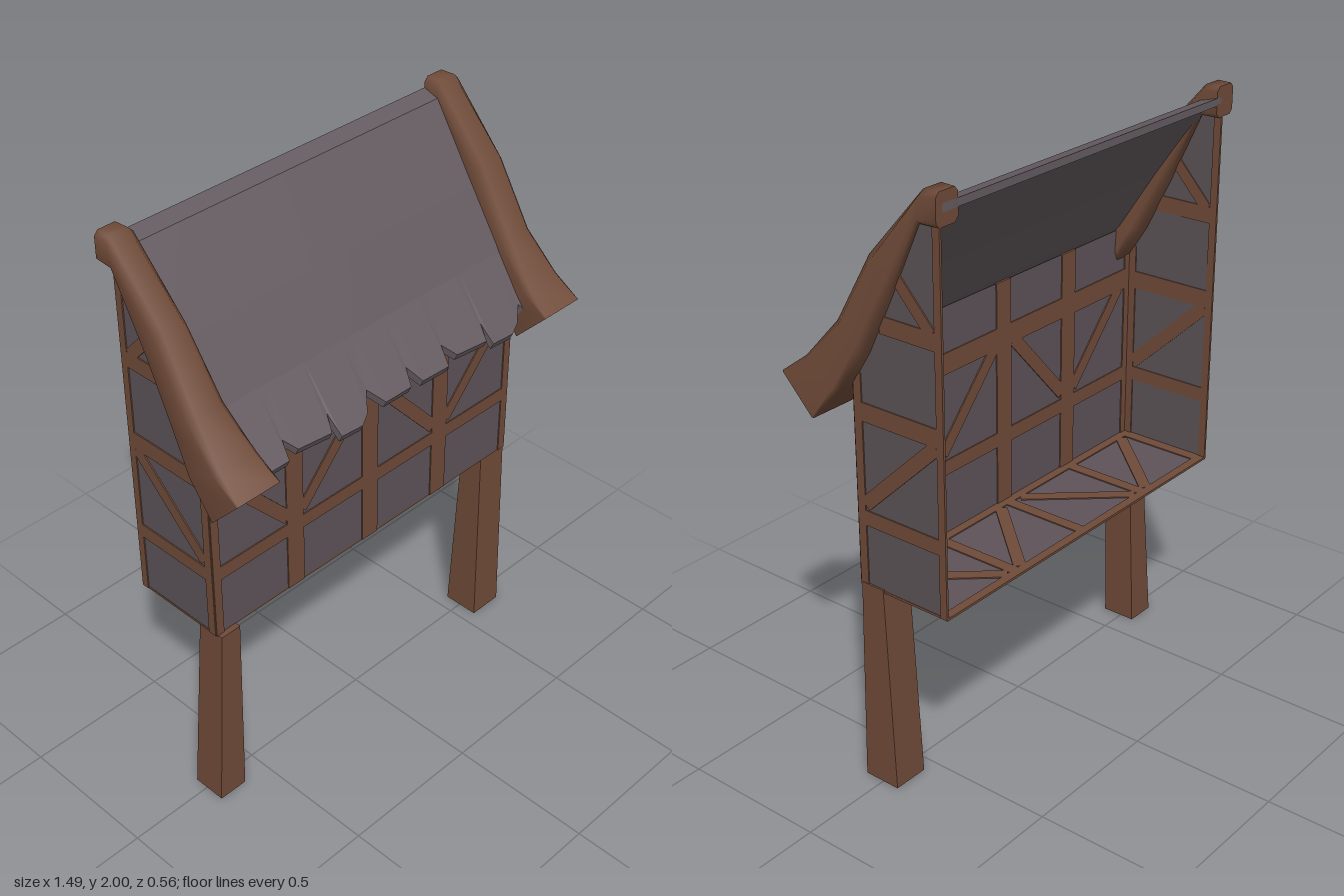
import * as THREE from 'three';

const mat = (name, color, side = THREE.FrontSide) => {
  const m = new THREE.MeshStandardMaterial({ color, side });
  m.name = name;
  return m;
};

// Skin a row of equal closed rings; caps join ring point k to point N-1-k.
function loft(rings, { start = true, end = true, flat = false } = {}) {
  const n = rings[0].length, pos = rings.flat(2), idx = [];
  for (let i = 0; i < rings.length - 1; i++) {
    for (let j = 0; j < n; j++) {
      const a = i * n + j, b = i * n + (j + 1) % n, c = b + n, d = a + n;
      idx.push(a, b, d, b, c, d);
    }
  }
  const cap = (ring, flip) => {
    const o = pos.length / 3;
    pos.push(...ring.flat());
    for (let k = 0; k < n / 2 - 1; k++) {
      const [a, b, c, d] = [o + k, o + k + 1, o + n - 2 - k, o + n - 1 - k];
      if (flip) idx.push(a, c, b, a, d, c);
      else idx.push(a, b, c, a, c, d);
    }
  };
  if (start) cap(rings[0], true);
  if (end) cap(rings[rings.length - 1], false);
  let g = new THREE.BufferGeometry();
  g.setAttribute('position', new THREE.Float32BufferAttribute(pos, 3));
  g.setIndex(idx);
  if (flat) g = g.toNonIndexed();
  g.computeVertexNormals();
  return g;
}

export function createModel() {
  const model = new THREE.Group();
  model.name = 'timberFramedBay';
  const timber = mat('timber', 0x704b39);
  const timberOpen = mat('legTimber', 0x704b39, THREE.DoubleSide);
  const plaster = mat('plaster', 0x5d5358, THREE.DoubleSide);
  const slate = mat('slate', 0x655c61);

  const add = (parent, name, geometry, material) => {
    const m = new THREE.Mesh(geometry, material);
    m.name = name;
    parent.add(m);
    return m;
  };

  // A plaster panel with thin beams showing on both faces; beam = [x1, y1, x2, y2, width]
  const panel = (name, outline, beams) => {
    const g = new THREE.Group();
    g.name = name;
    const shape = new THREE.Shape(outline.map(([x, y]) => new THREE.Vector2(x, y)));
    add(g, name + 'Plaster', new THREE.ShapeGeometry(shape), plaster);
    beams.forEach(([x1, y1, x2, y2, w]) => {
      const b = add(g, name + 'Beam', new THREE.BoxGeometry(Math.hypot(x2 - x1, y2 - y1), w, 0.008), timber);
      b.position.set((x1 + x2) / 2, (y1 + y2) / 2, 0);
      b.rotation.z = Math.atan2(y2 - y1, x2 - x1);
    });
    model.add(g);
    return g;
  };

  // Front wall
  const W = 0.67;
  const frontBeams = [[-W, 0.935, W, 0.935, 0.05], [-W, 1.285, W, 1.285, 0.07]];
  [-0.655, 0.655].forEach(x => frontBeams.push([x, 0.7, x, 1.47, 0.03]));
  [-0.33, 0, 0.325].forEach(x => frontBeams.push([x, 0.7, x, 1.47, 0.07]));
  [-0.33, 0.325].forEach(x => [-1, 1].forEach(s =>
    frontBeams.push([x + s * 0.03, 0.985, x + s * 0.28, 1.26, 0.045])));
  panel('frontWall', [[-W, 0.7], [W, 0.7], [W, 1.47], [-W, 1.47]], frontBeams).position.z = 0.06;

  // Side walls, drawn in (z, y)
  [-1, 1].forEach(s => {
    const side = panel(s > 0 ? 'leftWall' : 'rightWall',
      [[-0.28, 0.7], [0.06, 0.7], [0.06, 1.41], [-0.21, 1.91], [-0.28, 1.94]],
      [[0.045, 0.7, 0.045, 1.4, 0.03], [-0.267, 0.7, -0.267, 1.92, 0.026],
        [-0.28, 0.935, 0.06, 0.935, 0.05], [-0.28, 1.28, 0.06, 1.28, 0.06],
        [-0.28, 1.57, -0.05, 1.57, 0.055], [0.03, 0.98, -0.25, 1.25, 0.045],
        [-0.12, 1.72, -0.24, 1.59, 0.04]]);
    side.rotation.y = -Math.PI / 2;
    side.position.x = s * 0.669;
  });

  // Floor, drawn in (x, z)
  const floorBeams = [[-W, 0.045, W, 0.045, 0.03], [-W, -0.265, W, -0.265, 0.03]];
  [-0.65, -0.33, 0, 0.33, 0.65].forEach(x => floorBeams.push([x, -0.28, x, 0.06, 0.04]));
  [-0.33, 0.33].forEach(x => [-1, 1].forEach(s =>
    floorBeams.push([x + s * 0.03, -0.25, x + s * 0.28, 0.03, 0.04])));
  const floor = panel('floor', [[-W, -0.28], [W, -0.28], [W, 0.06], [-W, 0.06]], floorBeams);
  floor.rotation.x = Math.PI / 2;
  floor.position.y = 0.702;

  // Roof slab: columns along x, each [x, z of the ragged eave]
  const eave = [[-0.66, 0.2], [-0.475, 0.2], [-0.465, 0.16], [-0.43, 0.19], [-0.3, 0.197],
    [-0.285, 0.16], [-0.275, 0.212], [-0.19, 0.215], [-0.155, 0.2], [-0.12, 0.16], [-0.075, 0.2],
    [0.035, 0.2], [0.05, 0.162], [0.085, 0.202], [0.2, 0.204], [0.21, 0.16], [0.25, 0.193],
    [0.38, 0.2], [0.39, 0.162], [0.4, 0.212], [0.49, 0.215], [0.53, 0.2], [0.565, 0.168], [0.59, 0.2], [0.66, 0.2]];
  const roofRings = eave.map(([x, z]) => {
    const top = [[-0.28, 1.965], [-0.22, 1.95], [-0.06, 1.71], [0.06, 1.515], [z, 1.34 - 1.2 * (z - 0.2)]];
    const under = top.map(([pz, py]) => [pz - 0.012, py - 0.025]).reverse();
    under[under.length - 1][0] = -0.28;
    return [...top, ...under].map(([pz, py]) => [x, py, pz]);
  });
  add(model, 'roof', loft(roofRings, { flat: true }), slate);

  // Bargeboard logs: [upper z, y, lower z, y, corner roundness]
  const logProfile = [[-0.28, 2, -0.28, 1.9, 0.7], [-0.23, 2, -0.21, 1.9, 0.7], [-0.04, 1.78, -0.1, 1.66, 0.65],
    [0.08, 1.56, -0.01, 1.475, 0.65], [0.19, 1.43, 0.065, 1.355, 0.8], [0.275, 1.365, 0.16, 1.245, 0.95]];
  const logs = {
    rightLog: [[-0.725, -0.637], [-0.73, -0.632], [-0.73, -0.615], [-0.735, -0.597], [-0.745, -0.582], [-0.745, -0.58]],
    leftLog: [[0.595, 0.685], [0.59, 0.69], [0.585, 0.711], [0.59, 0.724], [0.577, 0.739], [0.575, 0.742]],
  };
  for (const [name, spans] of Object.entries(logs)) {
    const rings = logProfile.map(([uz, uy, lz, ly, k], i) => {
      const [x0, x1] = spans[i];
      return [[1, k], [k, 1], [-k, 1], [-1, k], [-1, -k], [-k, -1], [k, -1], [1, -k]].map(([u, v]) => [
        (x0 + x1) / 2 + u * (x1 - x0) / 2,
        (uy + ly) / 2 + v * (uy - ly) / 2,
        (uz + lz) / 2 + v * (uz - lz) / 2]);
    });
    // Start the ring on its side so the cap strips pair up across the depth
    add(model, name, loft(rings), timber);
  }

  // Hollow tapered legs: [x0, x1, z0, z1, y] at foot and top
  const legRing = ([x0, x1, z0, z1, y]) => [[x0, y, z1], [x1, y, z1], [x1, y, z0], [x0, y, z0]];
  const legs = {
    rightLeg: [[-0.7, -0.595, -0.05, 0.07, 0], [-0.665, -0.59, -0.02, 0.08, 0.7]],
    leftLeg: [[0.55, 0.675, -0.06, 0.07, 0], [0.56, 0.675, -0.03, 0.055, 0.71]],
  };
  for (const [name, ends] of Object.entries(legs)) {
    add(model, name, loft(ends.map(legRing), { start: false, flat: true }), timberOpen);
  }
  return model;
}
